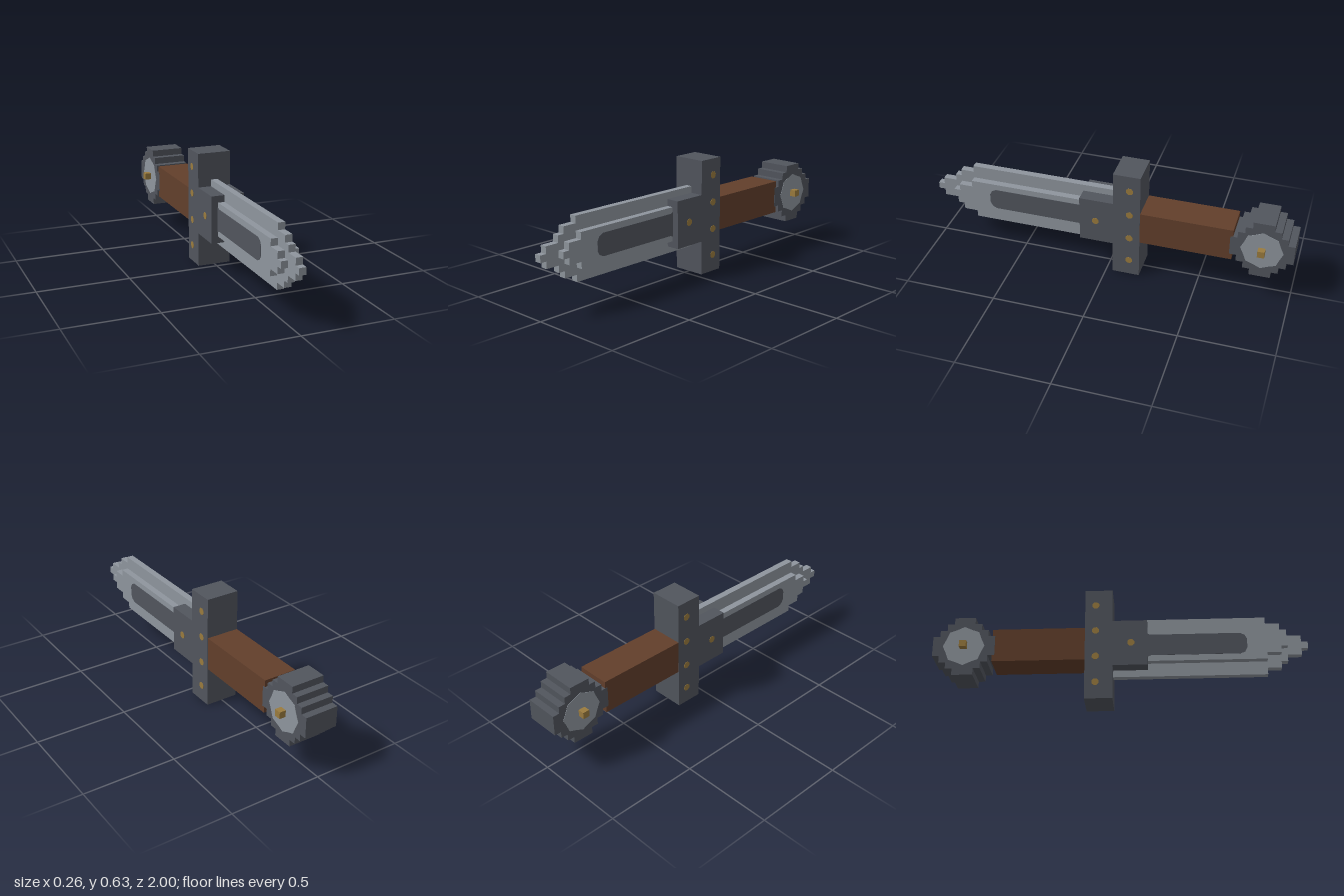
import * as THREE from 'three';

const mat = (name, color) => Object.assign(new THREE.MeshStandardMaterial({ color }), { name });
const MID = 0.315; // height of the long axis

export function createModel() {
  const iron = mat('dark iron', 0x51555d);
  const steel = mat('light steel', 0x8e959d);
  const leather = mat('brown leather', 0x623f2b);
  const brass = mat('brass', 0x9a7b3e);

  const model = new THREE.Group();
  model.name = 'dagger';

  const add = (name, geometry, material, x, y, z) => {
    const mesh = new THREE.Mesh(geometry, material);
    mesh.name = name;
    mesh.position.set(x, y, z);
    model.add(mesh);
  };
  const box = (name, material, w, y0, y1, z0, z1) =>
    add(name, new THREE.BoxGeometry(w, y1 - y0, z1 - z0), material, 0, (y0 + y1) / 2, (z0 + z1) / 2);

  // Side outline given as (z, y) points, extruded across x and centred
  const slab = (points, width) => {
    const shape = new THREE.Shape(points.map(([z, y]) => new THREE.Vector2(z, y)));
    return new THREE.ExtrudeGeometry(shape, { depth: width, bevelEnabled: false })
      .translate(0, 0, -width / 2)
      .rotateY(-Math.PI / 2);
  };

  // Stepped blade outline: each step is [end z, half height]
  const blade = (name, start, steps, width) => {
    const upper = [];
    let z = start;
    for (const [end, h] of steps) {
      upper.push([z, h], [end, h]);
      z = end;
    }
    const lower = upper.map(([a, h]) => [a, -h]);
    add(name, slab([...lower, ...upper.reverse()], width), steel, 0, MID, 0);
  };
  blade('bladeEdge', -0.04, [[0.78, 0.167], [0.855, 0.13], [0.89, 0.093], [0.965, 0.056], [1, 0.0185]], 0.037);
  blade('bladeCore', 0.1, [[0.78, 0.093], [0.855, 0.056], [0.89, 0.0185]], 0.11);

  // Crossguard, collar and grip
  box('crossguard', iron, 0.184, 0, 0.63, -0.185, -0.037);
  box('collar', iron, 0.184, 0.186, 0.445, -0.037, 0.148);
  box('grip', leather, 0.182, 0.223, 0.408, -0.68, -0.185);

  // Stepped round pommel: each corner is [half z, half y]
  const quarter = [[0.167, 0.056], [0.13, 0.056], [0.13, 0.093], [0.093, 0.093],
    [0.093, 0.13], [0.056, 0.13], [0.056, 0.167]];
  const back = [...quarter].reverse();
  const outline = [
    ...quarter,
    ...back.map(([z, y]) => [-z, y]),
    ...quarter.map(([z, y]) => [-z, -y]),
    ...back.map(([z, y]) => [z, -y]),
  ];
  add('pommel', slab(outline, 0.185), iron, 0, MID, -0.833);
  add('pommelPin', new THREE.BoxGeometry(0.26, 0.037, 0.037), brass, 0, MID, -0.833);

  // Thin inlays on both flanks
  const star = [];
  for (let i = 0; i < 16; i++) {
    const a = (i * Math.PI) / 8;
    const r = i % 2 ? 0.102 : 0.112;
    star.push([Math.cos(a) * r, Math.sin(a) * r]);
  }
  const fuller = [[0.14, -0.07], [0.165, -0.06], [0.64, -0.06], [0.664, -0.048], [0.676, -0.025],
    [0.676, 0.025], [0.664, 0.048], [0.64, 0.06], [0.165, 0.06], [0.14, 0.07]];
  for (const side of [1, -1]) {
    add('pommelInlay', slab(star, 0.004), steel, side * 0.0925, MID, -0.833);
    add('fuller', slab(fuller, 0.004), iron, side * 0.055, MID, 0);
    for (const [y, z] of [[0.54, -0.128], [0.39, -0.128], [0.24, -0.128], [0.093, -0.128], [MID, 0.06]]) {
      const stud = new THREE.CylinderGeometry(0.02, 0.02, 0.004, 8).rotateZ(Math.PI / 2).rotateX(Math.PI / 8);
      add('stud', stud, brass, side * 0.092, y, z);
    }
  }
  return model;
}
